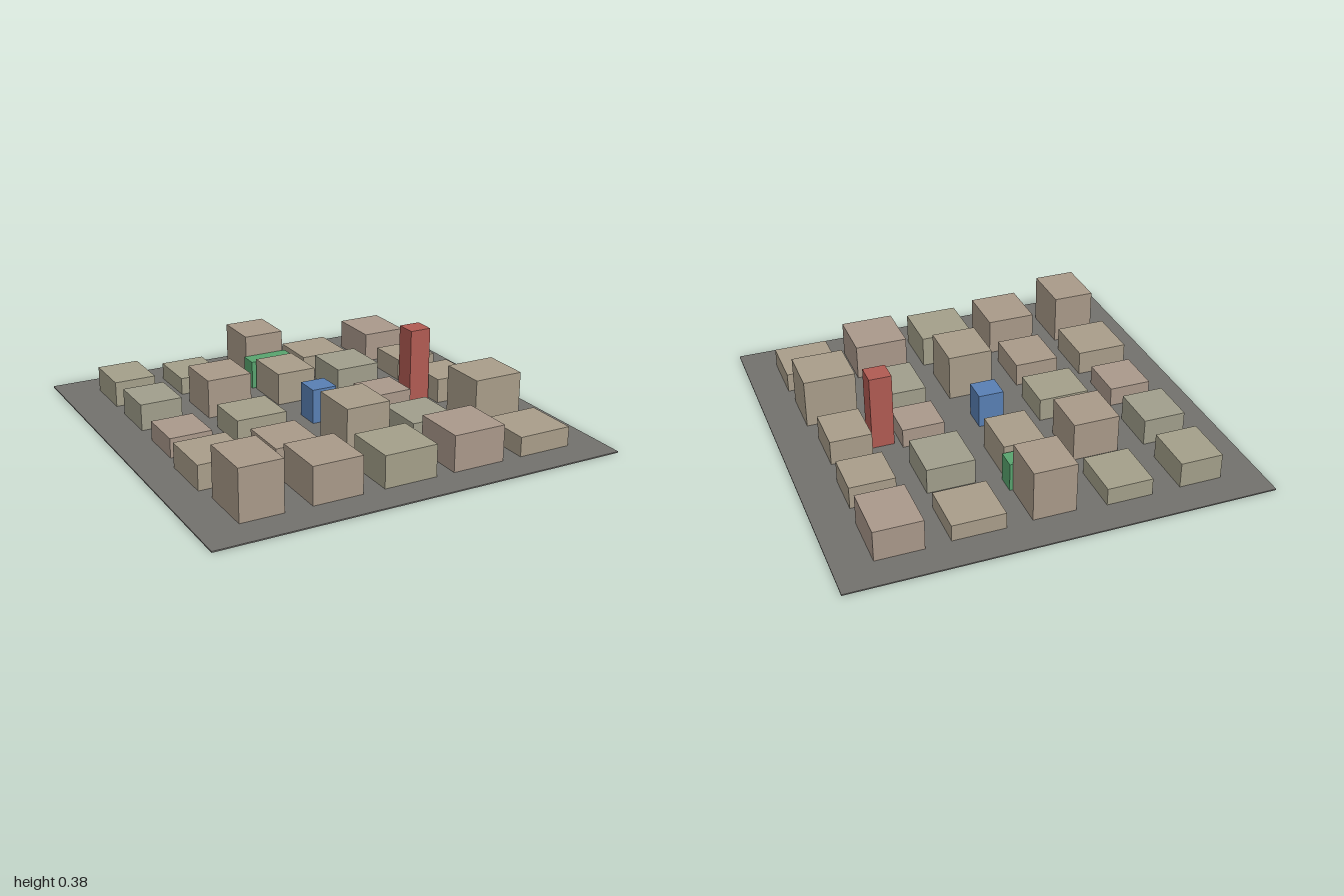
import * as THREE from 'three';

const GROUND = 0.006;
const PALETTE = {
  sage: 0xa09e8b, olive: 0xa39f89, tan: 0xa89d89, rose: 0xa89988, pink: 0xa9988a,
};

// City blocks, row by row from back to front: x0, x1, z0, z1, top height, tint
const BLOCKS = [
  [-0.81, -0.605, -0.835, -0.585, 0.13, 'olive'],
  [-0.465, -0.245, -0.84, -0.585, 0.09, 'olive'],
  [-0.105, 0.1, -0.825, -0.59, 0.25, 'rose'],
  [0.225, 0.475, -0.835, -0.585, 0.085, 'tan'],
  [0.595, 0.82, -0.845, -0.575, 0.155, 'pink'],

  [-0.81, -0.605, -0.475, -0.24, 0.135, 'sage'],
  [-0.47, -0.245, -0.475, -0.235, 0.195, 'rose'],
  [-0.1, 0.1, -0.48, -0.23, 0.165, 'tan'],
  [0.235, 0.465, -0.48, -0.23, 0.13, 'sage'],
  [0.6, 0.815, -0.465, -0.25, 0.115, 'tan'],

  [-0.81, -0.605, -0.115, 0.115, 0.1, 'pink'],
  [-0.48, -0.23, -0.115, 0.115, 0.12, 'olive'],
  [0.25, 0.455, -0.1, 0.1, 0.1, 'pink'],
  [0.605, 0.805, -0.115, 0.115, 0.127, 'tan'],

  [-0.835, -0.585, 0.215, 0.485, 0.125, 'tan'],
  [-0.465, -0.245, 0.225, 0.48, 0.12, 'rose'],
  [-0.11, 0.11, 0.225, 0.475, 0.235, 'tan'],
  [0.235, 0.465, 0.22, 0.48, 0.1, 'sage'],
  [0.58, 0.83, 0.235, 0.475, 0.245, 'tan'],

  [-0.81, -0.605, 0.575, 0.84, 0.25, 'rose'],
  [-0.475, -0.235, 0.575, 0.84, 0.185, 'rose'],
  [-0.13, 0.13, 0.575, 0.84, 0.16, 'olive'],
  [0.22, 0.48, 0.575, 0.84, 0.18, 'pink'],
  [0.575, 0.84, 0.575, 0.84, 0.1, 'tan'],
];

// Axis-aligned box given by its extents
function box(name, x0, x1, y0, y1, z0, z1, color) {
  const mesh = new THREE.Mesh(
    new THREE.BoxGeometry(x1 - x0, y1 - y0, z1 - z0),
    new THREE.MeshStandardMaterial({ color }),
  );
  mesh.position.set((x0 + x1) / 2, (y0 + y1) / 2, (z0 + z1) / 2);
  mesh.name = name;
  return mesh;
}

export function createModel() {
  const model = new THREE.Group();
  model.name = 'cityBlocks';

  // Ground slab
  model.add(box('ground', -1, 1, 0, GROUND, -1, 1, 0x72716d));

  // Ordinary buildings
  const buildings = new THREE.Group();
  buildings.name = 'buildings';
  BLOCKS.forEach(([x0, x1, z0, z1, top, tint], i) => {
    buildings.add(box(`building${i + 1}`, x0, x1, GROUND, top, z0, z1, PALETTE[tint]));
  });
  model.add(buildings);

  // Coloured landmarks
  model.add(
    box('redTower', 0.483, 0.591, GROUND, 0.377, -0.055, 0.051, 0xb05a52),
    box('blueBlock', -0.062, 0.062, GROUND, 0.175, -0.062, 0.062, 0x587fb3),
    box('greenHall', -0.115, 0.115, GROUND, 0.145, -0.59, -0.497, 0x58a36e),
  );
  return model;
}
